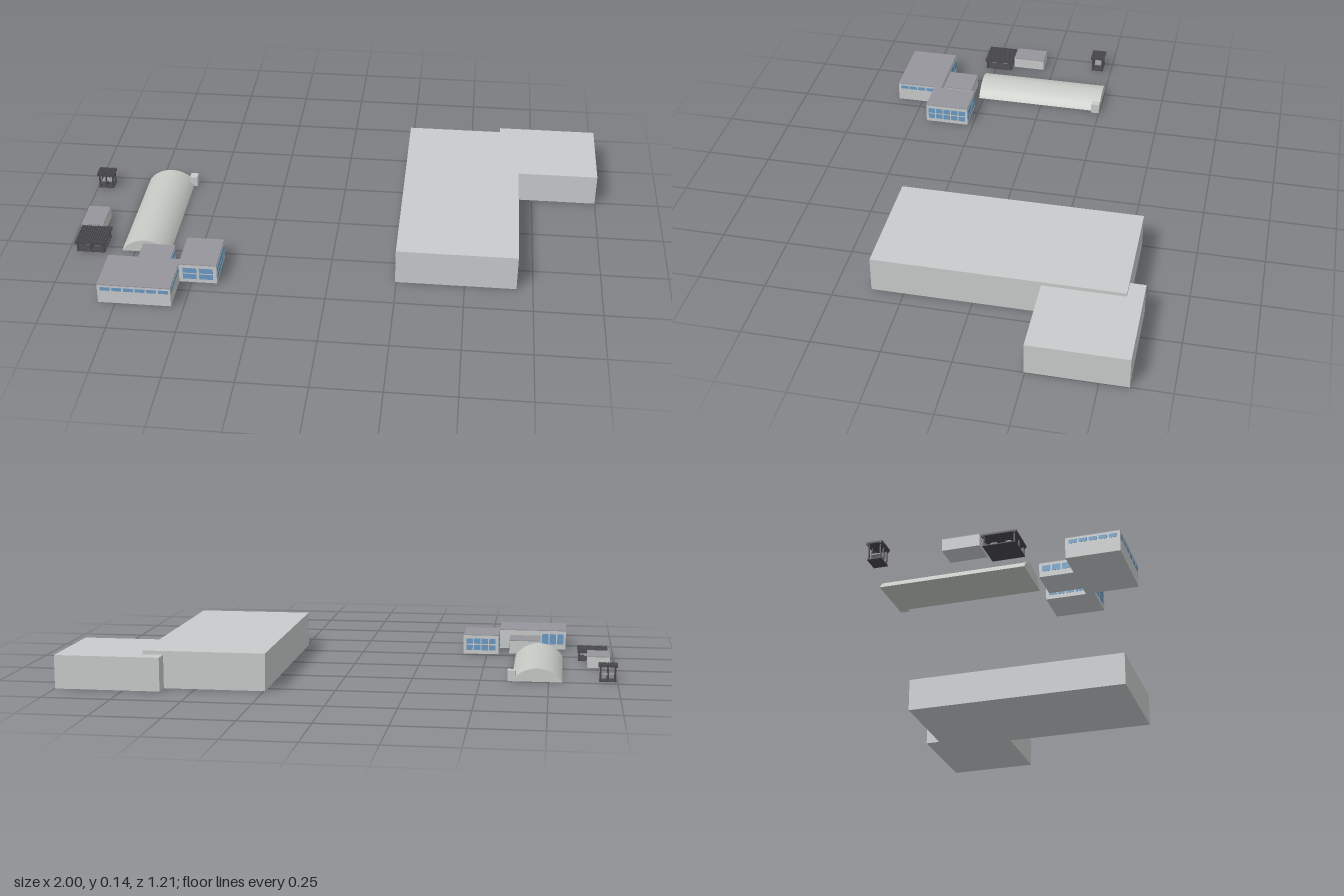
import * as THREE from 'three';

const mat = (name, color) => {
  const m = new THREE.MeshStandardMaterial({ color });
  m.name = name;
  return m;
};

export function createModel() {
  const site = new THREE.Group();
  site.name = 'industrialSite';
  const wall = mat('lightGreyWall', 0xc8cacb);
  const roof = mat('slateRoof', 0x95959b);
  const shed = mat('vaultGrey', 0xc6c9c4);
  const glass = mat('blueGlass', 0x6a9ac4);
  const timber = mat('darkTimber', 0x48484d);

  const group = (name) => {
    const g = new THREE.Group();
    g.name = name;
    site.add(g);
    return g;
  };
  // Box given by its two extreme corners
  const box = (parent, name, m, x0, x1, y0, y1, z0, z1) => {
    const mesh = new THREE.Mesh(new THREE.BoxGeometry(x1 - x0, y1 - y0, z1 - z0), m);
    mesh.position.set((x0 + x1) / 2, (y0 + y1) / 2, (z0 + z1) / 2);
    mesh.name = name;
    parent.add(mesh);
  };
  // Row of thin panes on a wall; axis is the direction the row runs in
  const panes = (parent, axis, at, from, to, count, y0, y1) => {
    const pitch = (to - from) / count, t = 0.0012;
    for (let i = 0; i < count; i++) {
      const a = from + pitch * (i + 0.08), b = from + pitch * (i + 0.92);
      if (axis === 'x') box(parent, 'window', glass, a, b, y0, y1, at - t, at + t);
      else box(parent, 'window', glass, at - t, at + t, y0, y1, a, b);
    }
  };
  const block = (name, x0, x1, z0, z1, h) => {
    const g = group(name);
    box(g, 'walls', wall, x0, x1, 0, h - 0.003, z0, z1);
    box(g, 'roof', roof, x0, x1, h - 0.003, h, z0, z1);
    return g;
  };

  // Large production hall and its annex
  const works = group('productionHall');
  box(works, 'mainHall', wall, 0.245, 0.69, 0, 0.136, -0.545, 0.37);
  box(works, 'annex', wall, 0.615, 1, 0, 0.122, -0.603, -0.245);

  // Office block with a high strip of windows
  const office = block('office', -0.813, -0.545, 0.415, 0.602, 0.078);
  panes(office, 'x', 0.602, -0.805, -0.55, 6, 0.053, 0.067);
  panes(office, 'z', -0.545, 0.448, 0.594, 4, 0.053, 0.067);
  panes(office, 'z', -0.813, 0.424, 0.594, 5, 0.053, 0.067);
  panes(office, 'x', 0.415, -0.807, -0.715, 3, 0.02, 0.062);

  // Side wing with two rows of windows
  const wing = block('sideWing', -0.545, -0.405, 0.272, 0.446, 0.078);
  for (const y of [0.015, 0.041]) {
    panes(wing, 'x', 0.446, -0.536, -0.414, 2, y, y + 0.021);
    panes(wing, 'x', 0.272, -0.536, -0.414, 4, y, y + 0.021);
    panes(wing, 'z', -0.405, 0.279, 0.439, 5, y, y + 0.021);
    panes(wing, 'z', -0.545, 0.279, 0.407, 4, y, y + 0.021);
  }

  // Low link between office and vaulted shed
  const link = block('link', -0.71, -0.588, 0.295, 0.415, 0.055);
  for (const x of [-0.71, -0.588]) panes(link, 'z', x, 0.302, 0.408, 3, 0.02, 0.042);

  // Vaulted shed: circular segment extruded along z
  const vault = group('vaultedShed');
  const half = 0.093, rise = 0.05, r = (half * half + rise * rise) / (2 * rise);
  const a = Math.asin(half / r);
  const seg = new THREE.Shape();
  seg.absarc(0, rise - r, r, Math.PI / 2 - a, Math.PI / 2 + a, false);
  seg.closePath();
  const vaultMesh = new THREE.Mesh(
    new THREE.ExtrudeGeometry(seg, { depth: 0.518, bevelEnabled: false, curveSegments: 24 }), shed);
  vaultMesh.position.set(-0.708, 0, -0.249);
  vaultMesh.name = 'vault';
  vault.add(vaultMesh);
  box(vault, 'cornerBox', wall, -0.63, -0.6, 0, 0.04, -0.25, -0.217);

  // Small store
  block('store', -0.98, -0.895, 0.042, 0.172, 0.045);

  // Open shelter: posts, floor and a slatted roof
  const shelter = (name, x0, x1, z0, z1, h, slats) => {
    const g = group(name), p = 0.005;
    box(g, 'floor', timber, x0 + 0.004, x1 - 0.004, 0, 0.003, z0 + 0.004, z1 - 0.004);
    for (const x of [x0 + 0.006, (x0 + x1 - p) / 2, x1 - 0.006 - p])
      for (const z of [z0 + 0.006, z1 - 0.006 - p])
        box(g, 'post', timber, x, x + p, 0, h - 0.006, z, z + p);
    for (const z of [z0 + 0.004, z1 - 0.009])
      box(g, 'beam', timber, x0, x1, h - 0.01, h - 0.005, z, z + p);
    box(g, 'deck', timber, x0, x1, h - 0.006, h - 0.003, z0, z1);
    const pitch = (x1 - x0) / slats;
    for (let i = 0; i < slats; i++)
      box(g, 'slat', timber, x0 + pitch * i, x0 + pitch * (i + 0.6), h - 0.003, h, z0, z1);
    return g;
  };
  const pergola = shelter('pergola', -0.975, -0.858, 0.174, 0.295, 0.042, 14);
  for (const z of [0.2, 0.25]) {
    box(pergola, 'table', roof, -0.95, -0.885, 0.016, 0.02, z, z + 0.02);
    box(pergola, 'tableFoot', timber, -0.922, -0.913, 0.003, 0.016, z + 0.006, z + 0.014);
  }
  const pavilion = shelter('pavilion', -1, -0.93, -0.22, -0.162, 0.064, 9);
  box(pavilion, 'table', roof, -0.985, -0.945, 0.022, 0.026, -0.205, -0.177);
  box(pavilion, 'tableFoot', timber, -0.969, -0.961, 0.003, 0.022, -0.195, -0.187);

  return site;
}
